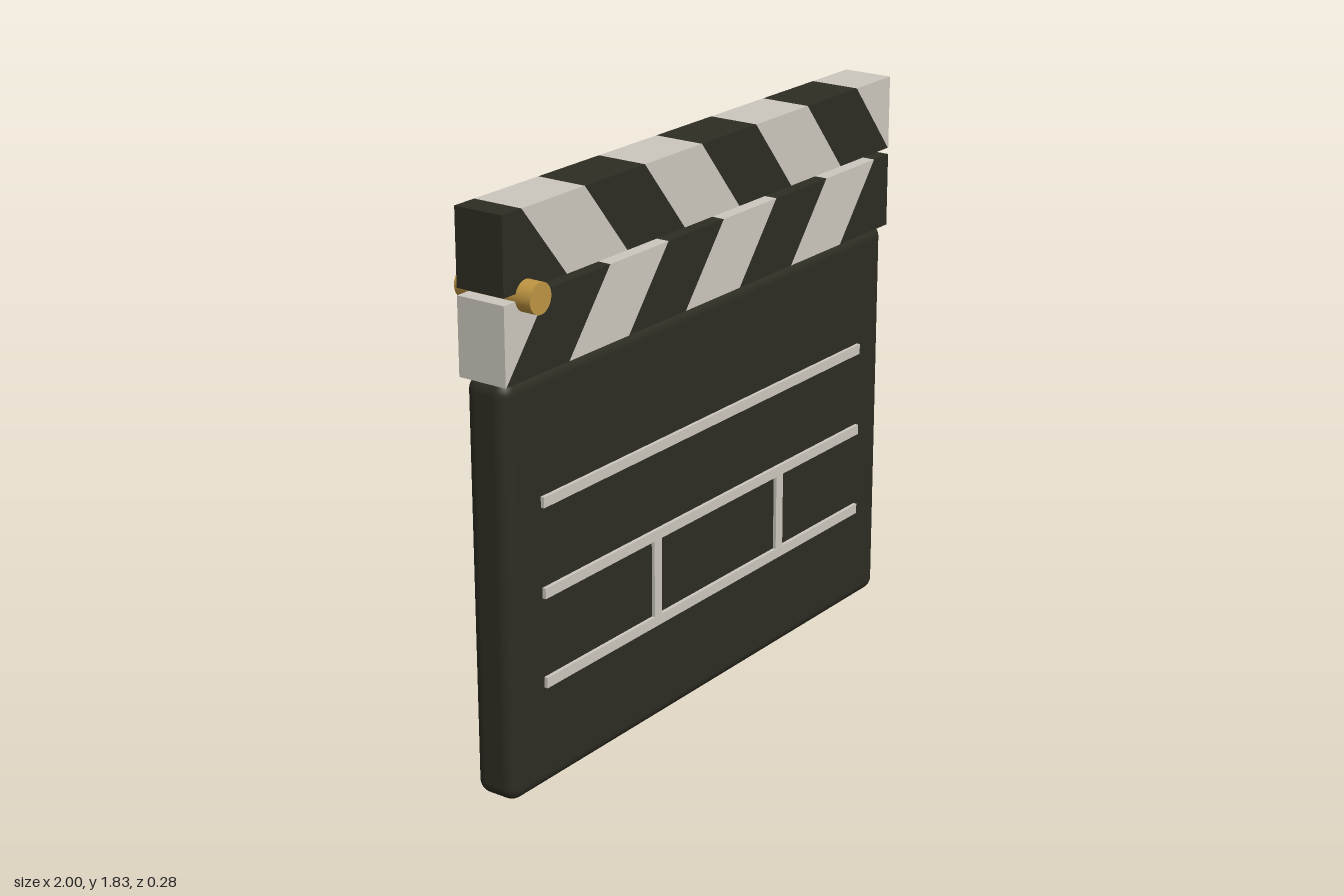
import * as THREE from 'three';
import { RoundedBoxGeometry } from 'three/addons/geometries/RoundedBoxGeometry.js';

const mat = (name, color) => {
  const m = new THREE.MeshStandardMaterial({ color });
  m.name = name;
  return m;
};

export function createModel() {
  const slate = mat('charcoal', 0x2e2d23);
  const chalk = mat('off white', 0xcdc7be);
  const brass = mat('brass', 0xbf9542);
  const model = new THREE.Group();
  model.name = 'clapperboard';

  const add = (parent, name, geometry, material, x = 0, y = 0, z = 0) => {
    const mesh = new THREE.Mesh(geometry, material);
    mesh.name = name;
    mesh.position.set(x, y, z);
    parent.add(mesh);
    return mesh;
  };

  // Slate board
  add(model, 'board', new RoundedBoxGeometry(1.994, 1.33, 0.154, 4, 0.045), slate, 0, 0.667, 0);

  // Ruled lines and dividers on the front
  const lines = new THREE.Group();
  lines.name = 'ruledLines';
  model.add(lines);
  for (const y of [0.929, 0.641, 0.352]) {
    add(lines, 'line', new THREE.BoxGeometry(1.69, 0.034, 0.014), chalk, 0, y, 0.082);
  }
  for (const x of [-0.29, 0.376]) {
    add(lines, 'divider', new THREE.BoxGeometry(0.038, 0.26, 0.013), chalk, x, 0.497, 0.0815);
  }

  // Striped stick: slanted blocks side by side, cut square at both ends
  const depth = 0.17;
  const stick = (name, y0, y1, bottomCuts, topCuts, colours) => {
    const group = new THREE.Group();
    group.name = name;
    model.add(group);
    const bottom = [-1, ...bottomCuts, 1];
    const top = [-1, ...topCuts, 1];
    for (let i = 0; i < top.length - 1; i++) {
      const shape = new THREE.Shape([
        new THREE.Vector2(bottom[i], y0),
        new THREE.Vector2(bottom[i + 1], y0),
        new THREE.Vector2(top[i + 1], y1),
        new THREE.Vector2(top[i], y1),
      ]);
      const block = new THREE.ExtrudeGeometry(shape, { depth, bevelEnabled: false });
      add(group, 'stripe', block, colours[i % 2], 0, 0, -depth / 2);
    }
  };
  const cuts = (start) => Array.from({ length: 7 }, (_, i) => start + i * 0.2855);
  stick('upperStick', 1.59, 1.83, cuts(-0.716), cuts(-0.914), [slate, chalk]);
  stick('lowerStick', 1.325, 1.568, cuts(-0.997), cuts(-0.799), [chalk, slate]);

  // Hinge pin
  const pin = add(model, 'hingePin', new THREE.CylinderGeometry(0.048, 0.048, 0.276, 24), brass, -0.902, 1.575, 0);
  pin.rotation.x = Math.PI / 2;

  return model;
}
